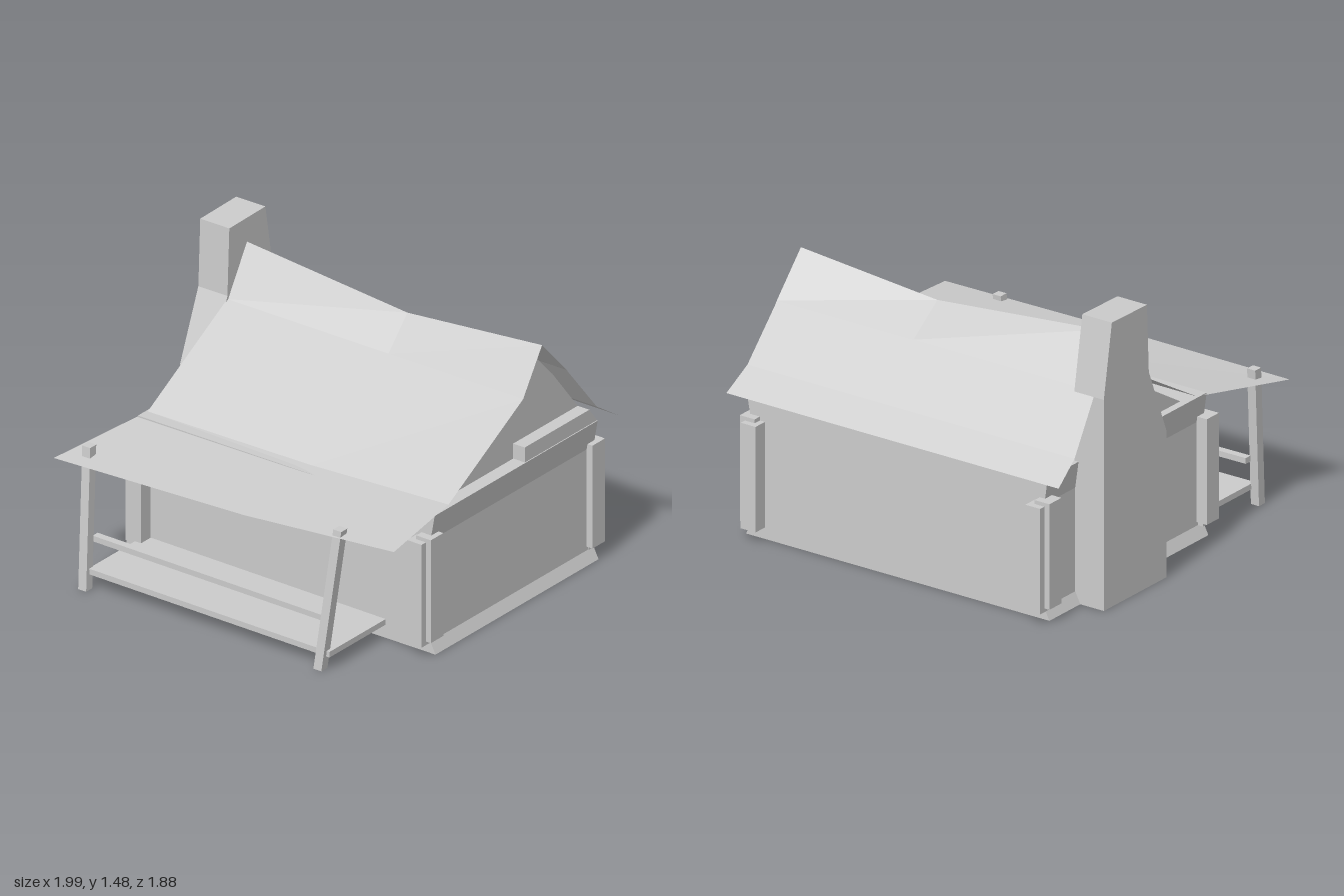
import * as THREE from 'three';

const solid = new THREE.MeshStandardMaterial({ color: 0xcccccc, flatShading: true });
const sheet = new THREE.MeshStandardMaterial({ color: 0xcccccc, flatShading: true, side: THREE.DoubleSide });

export function createModel() {
  const model = new THREE.Group();

  function add(name, geometry, material = solid) {
    const mesh = new THREE.Mesh(geometry, material);
    mesh.name = name;
    model.add(mesh);
    return mesh;
  }

  // Box given by its lower and upper limits on each axis
  function box(name, x0, x1, y0, y1, z0, z1) {
    const g = new THREE.BoxGeometry(x1 - x0, y1 - y0, z1 - z0);
    g.translate((x0 + x1) / 2, (y0 + y1) / 2, (z0 + z1) / 2);
    return add(name, g);
  }

  // Square post leaning from its foot to its head
  function leaningPost(name, foot, head, w) {
    const g = new THREE.BoxGeometry(w, 1, w);
    const p = g.attributes.position;
    for (let i = 0; i < p.count; i++) {
      const end = p.getY(i) > 0 ? head : foot;
      p.setXYZ(i, p.getX(i) + end[0], end[1], p.getZ(i) + end[2]);
    }
    g.computeVertexNormals();
    add(name, g);
  }

  // Surface through rows of points
  function loft(rows) {
    const n = rows[0].length;
    const index = [];
    for (let r = 0; r < rows.length - 1; r++) {
      for (let c = 0; c < n - 1; c++) {
        const a = r * n + c, b = a + n;
        index.push(a, a + 1, b + 1, a, b + 1, b);
      }
    }
    const g = new THREE.BufferGeometry();
    g.setAttribute('position', new THREE.Float32BufferAttribute(rows.flat(2), 3));
    g.setIndex(index);
    g.computeVertexNormals();
    return g;
  }

  // Side profile of [z, y] points, extruded across x
  function acrossX(points, x0, x1) {
    const shape = new THREE.Shape(points.map(([z, y]) => new THREE.Vector2(z, y)));
    const g = new THREE.ExtrudeGeometry(shape, { depth: x1 - x0, bevelEnabled: false });
    return g.rotateY(-Math.PI / 2).translate(x1, 0, 0);
  }

  // Walls: open below, slightly pinched, with a narrow ledge at the top
  const ring = ([x0, x1, y, z0, z1]) =>
    [[x0, y, z1], [x1, y, z1], [x1, y, z0], [x0, y, z0], [x0, y, z1]];
  add('walls', loft([
    [-0.86, 0.94, 0, -0.85, 0.44],
    [-0.83, 0.91, 0.06, -0.85, 0.44],
    [-0.83, 0.91, 0.6, -0.85, 0.44],
    [-0.85, 0.935, 0.74, -0.85, 0.44],
    [-0.78, 0.85, 0.74, -0.82, 0.28],
  ].map(ring)), sheet);

  // Gables set back under the roof edges
  const gable = [[0.28, 0.74], [-0.25, 1.06], [-0.39, 1.28], [-0.59, 1.07], [-0.79, 0.82], [-0.84, 0.74]];
  add('rightGable', acrossX(gable, -0.81, -0.79));
  add('leftGable', acrossX(gable, 0.84, 0.86));
  add('leftWallStep', acrossX([[-0.28, 0.74], [-0.28, 0.82], [-0.79, 0.82], [-0.85, 0.74]], 0.86, 0.93));

  // Sagging roof from porch eave over the ridge to the back eave
  const station = (xs, ys, zs) => xs.map((x, i) => [x, ys[i], zs[i]]);
  const level = (x0, x1, y, z) => station([x0, 0.14, x1], [y, y, y], [z, z, z]);
  add('roof', loft([
    station([-0.98, 0.14, 0.99], [0.67, 0.69, 0.72], [0.935, 0.905, 0.835]),
    station([-0.84, 0.14, 0.95], [0.74, 0.745, 0.77], [0.375, 0.37, 0.35]),
    level(-0.83, 0.95, 1.1, -0.24),
    station([-0.83, 0.14, 0.95], [1.35, 1.26, 1.33], [-0.39, -0.39, -0.39]),
    level(-0.83, 0.95, 1.12, -0.585),
    level(-0.94, 0.95, 1.1, -0.6),
    level(-0.965, 0.975, 0.85, -0.79),
    level(-0.98, 0.99, 0.75, -0.94),
  ]), sheet);

  // Chimney with a sloped shoulder
  add('chimney', acrossX([
    [-0.6, 0], [-0.09, 0], [-0.09, 0.76], [-0.235, 1.12],
    [-0.25, 1.475], [-0.535, 1.48], [-0.6, 1.1],
  ], -1, -0.825));

  // Pair of boards on every corner of the walls
  for (const sx of [-1, 1]) {
    for (const sz of [-1, 1]) {
      const span = (s, mid, a, b) => (s > 0 ? [mid + a, mid + b] : [mid - b, mid - a]);
      box('cornerBoardEnd', ...span(sx, 0.027, 0.8, 0.888), 0.06, 0.61,
        ...span(sz, -0.205, 0.6, 0.722));
      box('cornerBoardSide', ...span(sx, 0.027, 0.83, 0.918), 0.08, 0.63,
        ...span(sz, -0.205, 0.59, 0.688));
    }
  }

  // Porch
  leaningPost('rightPorchPost', [-0.825, 0, 0.89], [-0.85, 0.735, 0.825], 0.048);
  leaningPost('leftPorchPost', [0.59, 0, 0.89], [0.66, 0.74, 0.825], 0.048);
  box('porchRail', -0.82, 0.6, 0.23, 0.26, 0.8, 0.84).rotation.z = -0.007;
  box('porchDeck', -0.81, 0.64, 0.075, 0.105, 0.44, 0.885).rotation.z = -0.007;

  return model;
}
